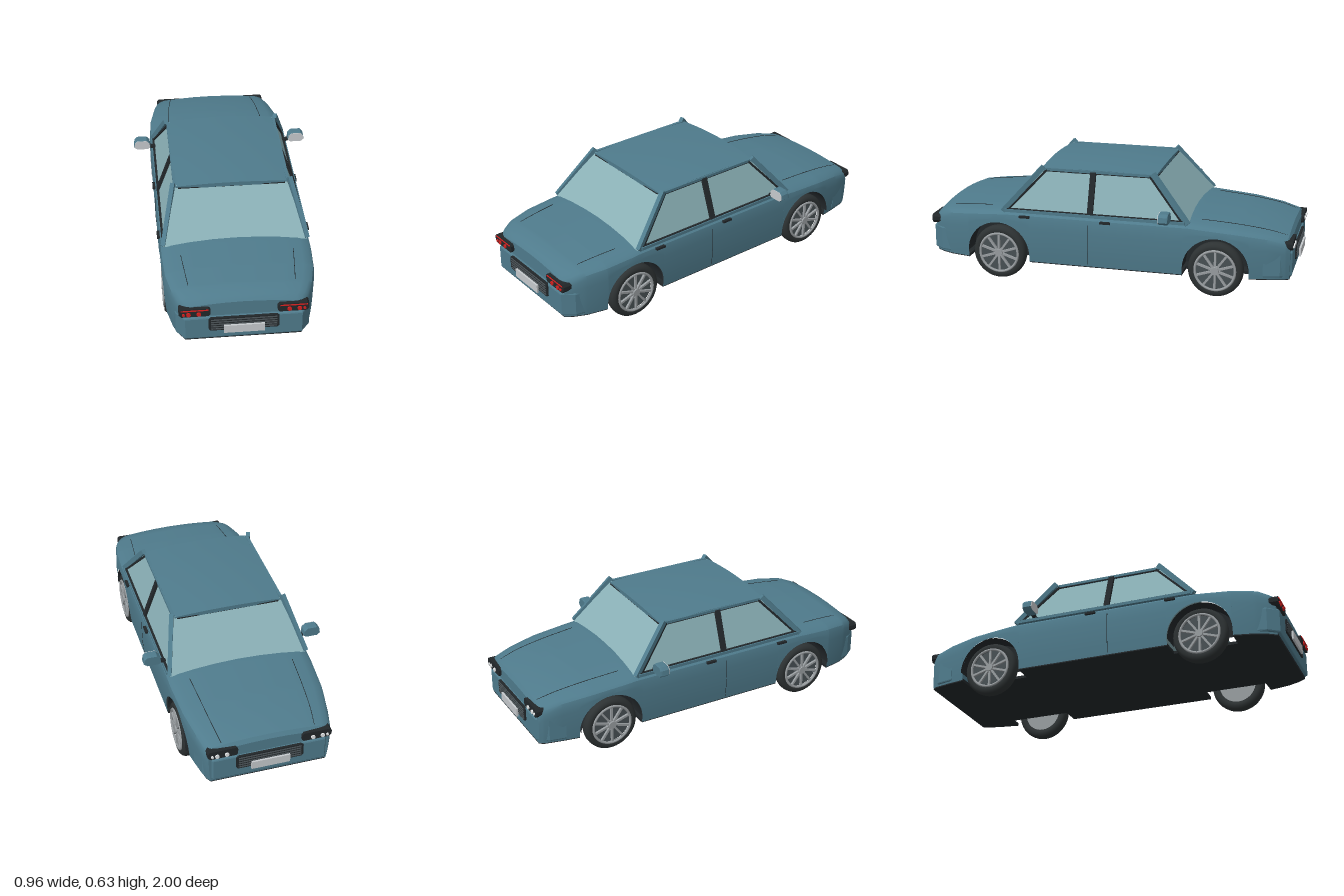
import * as THREE from 'three';
import { toCreasedNormals } from 'three/addons/utils/BufferGeometryUtils.js';

const mat = (name, color, extra = {}) => Object.assign(new THREE.MeshStandardMaterial({ color, ...extra }), { name });
const paint = mat('blue paint', 0x4f7b8c);
const glass = mat('glass', 0x8ab0b6);
const dark = mat('black trim', 0x22272a, { side: THREE.DoubleSide });
const rubber = mat('tyre rubber', 0x2d3233);
const slatGrey = mat('slat grey', 0x485054);
const chrome = mat('wheel metal', 0x989da0);
const plateGrey = mat('plate grey', 0xc6cacd);
const red = mat('red lamp', 0xd3201f);
const white = mat('white lamp', 0xe6e9ea);

const ARCH_R = 0.172, AXLE_Y = 0.145, AXLES = [-0.59, 0.58], FLOOR = 0.11;
const WIDTH = [[-0.965, 0.312], [-0.94, 0.328], [-0.85, 0.348], [-0.7, 0.374], [-0.5, 0.386], [0.6, 0.386], [0.75, 0.378], [0.86, 0.354], [0.92, 0.327], [0.96, 0.3]];
const TOP = [[-0.965, 0.315], [-0.95, 0.335], [-0.85, 0.36], [-0.7, 0.38], [-0.45, 0.4], [0.55, 0.4], [0.75, 0.387], [0.88, 0.374], [0.94, 0.352], [0.96, 0.33]];

function sample(table, z) {
  const i = Math.max(1, table.findIndex(p => p[0] >= z - 1e-9));
  const [a, b] = [table[i - 1], table[i]];
  return THREE.MathUtils.lerp(a[1], b[1], (z - a[0]) / (b[0] - a[0]));
}
const sideX = (z, y) => sample(WIDTH, z) - 0.4 * (y - 0.27) ** 2;
const deckY = (z, x) => sample(TOP, z) - 0.022 * (x / sample(WIDTH, z)) ** 2;

function add(parent, name, geo, material, x = 0, y = 0, z = 0) {
  const m = new THREE.Mesh(geo, material);
  m.name = name;
  m.position.set(x, y, z);
  parent.add(m);
  return m;
}
const box = (w, h, d) => new THREE.BoxGeometry(w, h, d);
function bar(parent, name, a, b, w, h, material) {
  const p = new THREE.Vector3(...a), q = new THREE.Vector3(...b);
  const m = add(parent, name, box(w, h, p.distanceTo(q)), material);
  m.position.copy(p).add(q).multiplyScalar(0.5);
  m.lookAt(q);
}
const polygon = pts => new THREE.Shape(pts.map(p => new THREE.Vector2(...p)));
function seam(parent, name, pts) {
  const curve = new THREE.CatmullRomCurve3(pts.map(p => new THREE.Vector3(...p)));
  add(parent, name, new THREE.TubeGeometry(curve, 16, 0.0015, 5), dark);
}

// Lengthwise stations: [z, lower edge height], following the wheel arches
function stations() {
  const list = [];
  const zs = new Set([...WIDTH, ...TOP].map(p => p[0]).concat([-0.3, -0.1, 0.1, 0.3]));
  for (const z of zs) if (AXLES.every(c => Math.abs(z - c) > ARCH_R)) list.push([z, FLOOR]);
  for (const c of AXLES) {
    list.push([c - ARCH_R, FLOOR]);
    for (let i = 0; i <= 20; i++) {
      const t = Math.PI * i / 20;
      list.push([c - ARCH_R * Math.cos(t), AXLE_Y + ARCH_R * Math.sin(t)]);
    }
    list.push([c + ARCH_R, FLOOR]);
  }
  return list.sort((a, b) => a[0] - b[0]);
}

// Lower body lofted through cross-sections, capped at both ends
function bodyGeometry() {
  const list = stations(), pos = [], idx = [];
  let n = 0;
  for (const [z, low] of list) {
    const W = sample(WIDTH, z), T = sample(TOP, z), half = [];
    for (let k = 0; k <= 5; k++) {
      const y = THREE.MathUtils.lerp(low, Math.max(low + 0.002, T - 0.06), k / 5);
      half.push([sideX(z, y), y]);
    }
    half.push([W - 0.007, T - 0.038], [W - 0.022, T - 0.025]);
    for (const f of [0.85, 0.6, 0.3]) half.push([W * f, deckY(z, W * f)]);
    const ring = [...half, [0, T], ...half.slice().reverse().map(([x, y]) => [-x, y])];
    n = ring.length;
    for (const [x, y] of ring) pos.push(x, y, z);
  }
  for (let i = 0; i < list.length - 1; i++) for (let j = 0; j < n - 1; j++) {
    const a = i * n + j, b = a + n;
    idx.push(a, a + 1, b, a + 1, b + 1, b);
  }
  const last = (list.length - 1) * n, c = pos.length / 3;
  pos.push(0, 0.22, list[0][0], 0, 0.22, list[list.length - 1][0]);
  for (let j = 0; j < n; j++) {
    const k = (j + 1) % n;
    idx.push(c, k, j, c + 1, last + j, last + k);
  }
  const g = new THREE.BufferGeometry();
  g.setAttribute('position', new THREE.Float32BufferAttribute(pos, 3));
  g.setIndex(idx);
  return toCreasedNormals(g, 0.55);
}

// Bumper, grille, number plate and lamps of one end, built facing +z
function makeEnd(rear) {
  const g = new THREE.Group();
  g.name = rear ? 'redLampEnd' : 'whiteLampEnd';
  const plan = polygon([[-0.34, 0.84], [0.34, 0.84], [0.325, 0.915], [0.285, 0.967], [-0.285, 0.967], [-0.325, 0.915]]);
  const bumper = new THREE.ExtrudeGeometry(plan, { depth: 0.115, bevelSize: 0.008, bevelThickness: 0.008, bevelSegments: 2 });
  bumper.rotateX(Math.PI / 2);
  add(g, 'bumper', bumper, paint, 0, 0.243, 0);
  add(g, 'grille', new THREE.ExtrudeGeometry(polygon([[-0.165, 0.173], [0.165, 0.173], [0.174, 0.182], [0.174, 0.243], [0.165, 0.25], [-0.165, 0.25], [-0.174, 0.243], [-0.174, 0.182]]), { depth: 0.025, bevelEnabled: false }), dark, 0, 0, 0.957);
  for (let i = 0; i < 5; i++) add(g, 'grilleSlat', box(0.325, 0.005, 0.006), slatGrey, 0, 0.184 + i * 0.014, 0.983);
  add(g, 'numberPlate', box(0.2, 0.045, 0.01), plateGrey, 0, 0.189, 0.993);
  const housing = [[0.165, 0.276], [0.175, 0.265], [0.308, 0.265], [0.32, 0.28], [0.32, 0.3], [0.31, 0.312], [0.175, 0.312], [0.165, 0.302]];
  for (const s of [-1, 1]) {
    const geo = new THREE.ExtrudeGeometry(polygon(housing.map(([x, y]) => [x * s, y])), { depth: 0.07, bevelEnabled: false });
    add(g, 'lampHousing', geo, dark, 0, 0, 0.908);
    for (const [x, r] of [[0.222, 0.011], [0.272, 0.011], [0.297, 0.007]]) {
      const lamp = add(g, 'lamp', new THREE.CylinderGeometry(r, r, 0.008, 16), rear ? red : white, s * x, 0.282, 0.981);
      lamp.rotation.x = Math.PI / 2;
    }
    if (rear) add(g, 'lampStrip', box(0.135, 0.005, 0.006), red, s * 0.243, 0.304, 0.979);
  }
  if (!rear) g.rotation.y = Math.PI;
  return g;
}

// Wheel with its outer face towards +x
function makeWheel() {
  const g = new THREE.Group();
  g.name = 'wheel';
  const profile = [[0.1, -0.026], [0.115, -0.034], [0.132, -0.033], [0.142, -0.022], [0.145, -0.008], [0.145, 0.008], [0.142, 0.022], [0.132, 0.033], [0.115, 0.034], [0.1, 0.026]];
  const tyre = new THREE.LatheGeometry(profile.map(p => new THREE.Vector2(...p)), 40);
  add(g, 'tyre', tyre.rotateZ(-Math.PI / 2), rubber);
  add(g, 'wheelBack', new THREE.CylinderGeometry(0.104, 0.104, 0.01, 32).rotateZ(Math.PI / 2), chrome, -0.022);
  add(g, 'wheelDish', new THREE.CylinderGeometry(0.104, 0.104, 0.01, 32).rotateZ(Math.PI / 2), slatGrey, 0.014);
  add(g, 'rim', new THREE.TorusGeometry(0.105, 0.007, 8, 40).rotateY(Math.PI / 2), chrome, 0.032);
  add(g, 'hub', new THREE.CylinderGeometry(0.02, 0.024, 0.028, 16).rotateZ(-Math.PI / 2), chrome, 0.028);
  for (let i = 0; i < 10; i++) {
    const a = i * Math.PI / 5;
    const spoke = add(g, 'spoke', box(0.012, 0.09, 0.011), chrome, 0.029, 0.06 * Math.cos(a), 0.06 * Math.sin(a));
    spoke.rotation.x = a;
  }
  return g;
}

export function createModel() {
  const car = new THREE.Group();
  car.name = 'car';
  add(car, 'body', bodyGeometry(), paint);

  // Floor pan, notched around the wheels
  const edge = stations().map(([z]) => [AXLES.some(c => Math.abs(z - c) < ARCH_R - 1e-6) ? 0.27 : sideX(z, FLOOR) - 0.002, z]);
  const floor = polygon([...edge, ...edge.slice().reverse().map(([x, z]) => [-x, z])]);
  add(car, 'floor', new THREE.ExtrudeGeometry(floor, { depth: 0.015, bevelEnabled: false }).rotateX(Math.PI / 2), dark, 0, 0.12, 0);

  // Cabin glass
  const cabin = new THREE.BoxGeometry(2, 1, 2), p = cabin.attributes.position;
  for (let i = 0; i < p.count; i++) {
    const up = p.getY(i) > 0, back = p.getZ(i) > 0;
    p.setXYZ(i, p.getX(i) * (up ? 0.285 : 0.367), up ? 0.605 : 0.38, up ? (back ? 0.352 : -0.252) : (back ? 0.562 : -0.45));
  }
  cabin.computeVertexNormals();
  add(car, 'windows', cabin, glass);

  // Crowned roof
  const roof = new THREE.BoxGeometry(0.585, 0.022, 0.63, 12, 1, 10), r = roof.attributes.position;
  for (let i = 0; i < r.count; i++) {
    const u = r.getX(i) / 0.2925, v = r.getZ(i) / 0.315;
    r.setXYZ(i, r.getX(i) * (1 - 0.02 * v * v), r.getY(i) + 0.014 * (1 - u * u) + 0.008 * (1 - v * v), r.getZ(i) * (1 - 0.02 * u * u));
  }
  add(car, 'roof', toCreasedNormals(roof, 0.6), paint, 0, 0.593, 0.05);
  for (const z of [-0.257, 0.357]) add(car, 'roofEdgeTrim', box(0.55, 0.008, 0.012), dark, 0, 0.594, z);

  for (const s of [-1, 1]) {
    // Pillars, rails and window trim
    bar(car, 'windscreenPillar', [s * 0.368, 0.38, -0.445], [s * 0.3, 0.617, -0.245], 0.022, 0.026, paint);
    bar(car, 'rearPillar', [s * 0.368, 0.38, 0.555], [s * 0.3, 0.617, 0.345], 0.022, 0.026, paint);
    bar(car, 'pillarTrim', [s * 0.368, 0.385, -0.418], [s * 0.293, 0.6, -0.228], 0.012, 0.01, dark);
    bar(car, 'pillarTrim', [s * 0.368, 0.385, 0.528], [s * 0.293, 0.6, 0.328], 0.012, 0.01, dark);
    bar(car, 'centrePillar', [s * 0.37, 0.38, 0.075], [s * 0.292, 0.6, 0.075], 0.03, 0.02, dark);
    bar(car, 'roofRail', [s * 0.291, 0.603, -0.25], [s * 0.291, 0.603, 0.35], 0.016, 0.014, paint);
    bar(car, 'windowTopTrim', [s * 0.293, 0.594, -0.24], [s * 0.293, 0.594, 0.34], 0.008, 0.006, dark);
    bar(car, 'windowSill', [s * 0.37, 0.385, -0.43], [s * 0.37, 0.385, 0.54], 0.02, 0.016, paint);
    bar(car, 'windowSillTrim', [s * 0.368, 0.394, -0.42], [s * 0.368, 0.394, 0.53], 0.012, 0.005, dark);

    // Panel seams and door handles
    seam(car, 'doorSeam', [0.12, 0.2, 0.28, 0.34].map(y => [s * sideX(0.085, y), y, 0.085]));
    seam(car, 'hoodSeam', [-0.94, -0.85, -0.7, -0.5].map((z, i) => [s * (0.24 + 0.012 * i), deckY(z, 0.25), z]));
    seam(car, 'trunkSeam', [0.64, 0.75, 0.85, 0.92].map((z, i) => [s * (0.285 - 0.01 * i), deckY(z, 0.27), z]));
    for (const z of [-0.01, 0.43]) add(car, 'doorHandle', box(0.016, 0.011, 0.055), dark, s * 0.386, 0.358, z);

    // Door mirrors
    const outline = [[0.39, 0.41], [0.402, 0.4], [0.462, 0.4], [0.478, 0.413], [0.474, 0.438], [0.46, 0.452], [0.41, 0.452], [0.393, 0.436]].map(([x, y]) => [s * (x - 0.434), y - 0.426]);
    const shell = new THREE.ExtrudeGeometry(polygon(outline), { depth: 0.025, bevelSize: 0.002, bevelThickness: 0.012, bevelSegments: 2 });
    add(car, 'mirrorShell', shell, paint, s * 0.434, 0.426, -0.348);
    add(car, 'mirrorGlass', new THREE.ExtrudeGeometry(polygon(outline), { depth: 0.004, bevelEnabled: false }), plateGrey, s * 0.434, 0.426, -0.312);
    bar(car, 'mirrorArm', [s * 0.36, 0.395, -0.335], [s * 0.41, 0.412, -0.335], 0.02, 0.014, dark);

    // Wheels and wheel wells
    for (const z of AXLES) {
      const wheel = makeWheel();
      wheel.position.set(s * 0.342, AXLE_Y, z);
      if (s < 0) wheel.rotation.y = Math.PI;
      car.add(wheel);
      const well = new THREE.CylinderGeometry(ARCH_R, ARCH_R, 0.105, 24, 1, true, 0, Math.PI).rotateZ(Math.PI / 2);
      add(car, 'wheelWell', well, dark, s * 0.322, AXLE_Y, z);
      add(car, 'wheelWellWall', new THREE.CircleGeometry(ARCH_R, 24, 0, Math.PI).rotateY(Math.PI / 2), dark, s * 0.27, AXLE_Y, z);
    }
  }
  car.add(makeEnd(true), makeEnd(false));
  return car;
}
